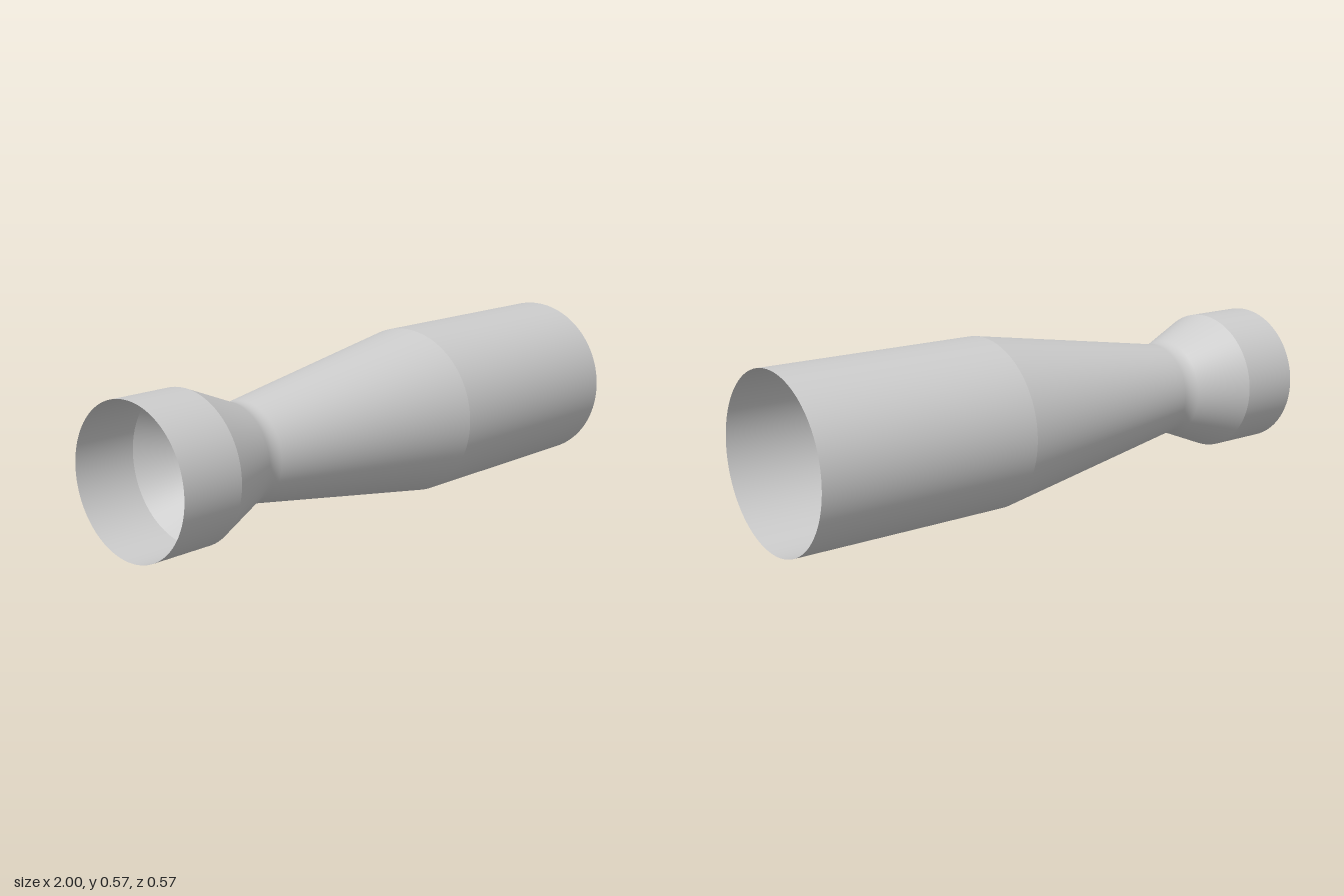
import * as THREE from 'three';

const R_IN = 0.242, R_OUT = 0.2845, R_THROAT = 0.161;
const ARC = 0.1, THROAT_X = -0.56; // rounding radius and station of the throat
const IN_ANGLE = THREE.MathUtils.degToRad(21.6), OUT_ANGLE = THREE.MathUtils.degToRad(9);

export function createModel() {
  const group = new THREE.Group();
  group.name = 'venturiNozzle';
  const material = new THREE.MeshStandardMaterial({ color: 0xcccccc, side: THREE.DoubleSide });

  // Open thin-walled section turned about the x axis; profile points are [x, radius]
  function section(name, profile) {
    const points = profile.map(([x, r]) => new THREE.Vector2(r, x));
    const mesh = new THREE.Mesh(new THREE.LatheGeometry(points, 128), material);
    mesh.name = name;
    mesh.rotation.z = -Math.PI / 2;
    mesh.position.y = R_OUT;
    group.add(mesh);
  }

  // Rounded throat, tangent to both cones
  const throat = [];
  for (let i = 0; i <= 10; i++) {
    const a = THREE.MathUtils.lerp(-IN_ANGLE, OUT_ANGLE, i / 10);
    throat.push([THROAT_X + ARC * Math.sin(a), R_THROAT + ARC * (1 - Math.cos(a))]);
  }

  section('inletPipe', [[-1, R_IN], [-0.783, R_IN]]);
  section('convergentCone', [[-0.783, R_IN], throat[0]]);
  section('throat', throat);
  section('divergentCone', [throat[throat.length - 1], [0.226, R_OUT]]);
  section('outletPipe', [[0.226, R_OUT], [1, R_OUT]]);
  return group;
}
